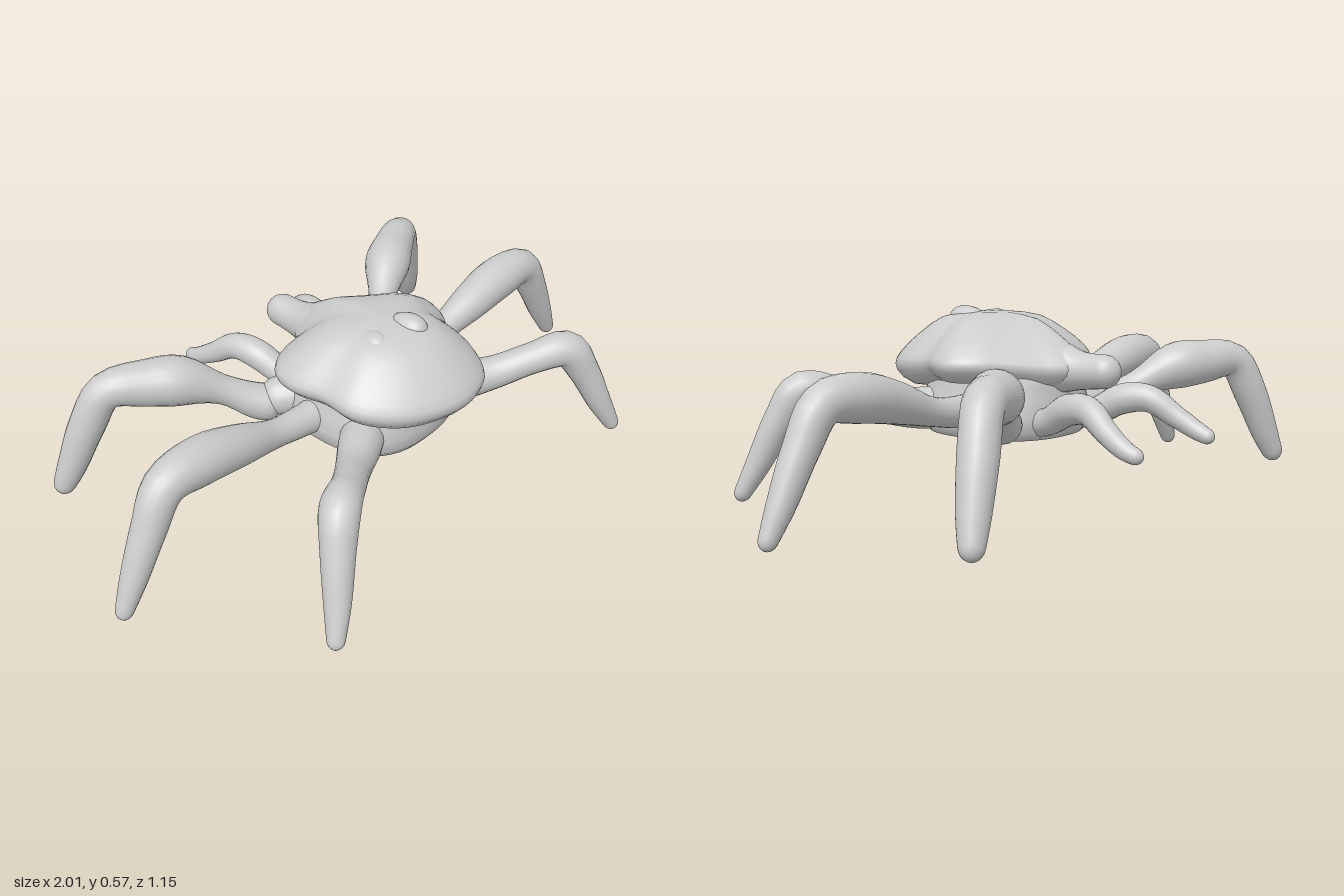
import * as THREE from 'three';

const material = new THREE.MeshStandardMaterial({ color: 0xcccccc });

// Smooth closed skin over a list of equal-length rings of points
function skin(name, rings) {
  const n = rings[0].length;
  const pos = [], index = [];
  rings.forEach(ring => ring.forEach(p => pos.push(p.x, p.y, p.z)));
  for (let i = 0; i < rings.length - 1; i++) {
    for (let j = 0; j < n; j++) {
      const a = i * n + j, b = i * n + (j + 1) % n;
      index.push(a, b, b + n, a, b + n, a + n);
    }
  }
  const geo = new THREE.BufferGeometry();
  geo.setAttribute('position', new THREE.Float32BufferAttribute(pos, 3));
  geo.setIndex(index);
  geo.computeVertexNormals();
  const mesh = new THREE.Mesh(geo, material);
  mesh.name = name;
  return mesh;
}

// Round limb through stations [x, y, z, radius], with rounded ends
function limb(name, stations, side = 1, steps = 48, n = 20) {
  const path = new THREE.CatmullRomCurve3(stations.map(s => new THREE.Vector3(s[0] * side, s[1], s[2])));
  const radii = new THREE.CatmullRomCurve3(stations.map((s, i) => new THREE.Vector3(s[3], i, 0)), false, 'catmullrom');
  const first = path.getPoint(0), last = path.getPoint(1);
  const across = new THREE.Vector3(last.z - first.z, 0, first.x - last.x).normalize();
  const rings = [];
  for (let i = 0; i <= steps; i++) {
    // stations crowd towards both ends so the caps stay round
    const t = 0.5 - 0.5 * Math.cos(Math.PI * i / steps);
    const c = path.getPoint(t), d = path.getTangent(t);
    let r = radii.getPoint(t).x;
    const end = Math.min(c.distanceTo(first), c.distanceTo(last));
    if (end < r) r *= Math.sqrt(Math.max(0, 1 - (1 - end / r) ** 2));
    const u = across.clone().addScaledVector(d, -across.dot(d)).normalize();
    const v = d.clone().cross(u);
    rings.push(Array.from({ length: n }, (_, j) => {
      const a = 2 * Math.PI * j / n;
      return c.clone().addScaledVector(u, r * Math.cos(a)).addScaledVector(v, r * Math.sin(a));
    }));
  }
  return skin(name, rings);
}

// Domed shell: a lobed outline scaled inwards and lifted
function shell() {
  const outline = new THREE.CatmullRomCurve3([
    [0.31, 0.04], [0.27, -0.04], [0.2, -0.1], [0.12, -0.17], [0.065, -0.22], [0, -0.25], [-0.06, -0.2],
    [-0.12, -0.14], [-0.21, -0.115], [-0.285, -0.05], [-0.3, 0.03], [-0.275, 0.13], [-0.265, 0.24],
    [-0.2, 0.33], [-0.11, 0.39], [0.03, 0.425], [0.16, 0.385], [0.23, 0.28], [0.25, 0.17], [0.29, 0.11]
  ].map(([x, z]) => new THREE.Vector3(x, 0, z)), true);
  const cz = 0.12, n = 80;
  // [scale of outline, share of the dome height]
  const layers = [[0, -0.42], [0.6, -0.42], [0.8, -0.38], [0.92, -0.25], [0.98, -0.12], [1, 0], [0.985, 0.1],
    [0.94, 0.22], [0.85, 0.4], [0.75, 0.56], [0.62, 0.75], [0.5, 0.88], [0.35, 0.95], [0.18, 0.99], [0, 1]];
  return skin('shell', layers.map(([s, f]) => Array.from({ length: n }, (_, j) => {
    const p = outline.getPoint(j / n);
    const rim = 0.415 - 0.025 * THREE.MathUtils.smoothstep(p.z, 0.1, 0.4)
      - 0.015 * THREE.MathUtils.smoothstep(-p.z, 0.05, 0.2);
    return new THREE.Vector3(p.x * s, rim + (0.56 - rim) * f, cz + (p.z - cz) * s);
  })));
}

// Belly: boxy rounded rings, flat underneath
function belly() {
  const layers = [[0, 0, 0.185], [0.18, 0.195, 0.183], [0.215, 0.23, 0.19], [0.24, 0.248, 0.215],
    [0.245, 0.25, 0.26], [0.23, 0.24, 0.31], [0.215, 0.235, 0.35], [0.21, 0.225, 0.4], [0, 0, 0.42]];
  const n = 48, bulge = v => Math.sign(v) * Math.abs(v) ** 0.8;
  return skin('belly', layers.map(([rx, rz, y]) => Array.from({ length: n }, (_, j) => {
    const a = 2 * Math.PI * j / n;
    return new THREE.Vector3(rx * bulge(Math.cos(a)), y, 0.06 - rz * bulge(Math.sin(a)));
  })));
}

export function createModel() {
  const model = new THREE.Group();
  model.name = 'crab';
  model.add(shell(), belly());

  // Rear horn and the two small knobs on the dome
  model.add(limb('rearHorn', [[0, 0.4, 0.02, 0.09], [0, 0.4, -0.13, 0.085], [-0.003, 0.395, -0.24, 0.057], [-0.01, 0.4, -0.36, 0.05]]));
  model.add(limb('leftKnob', [[0.03, 0.51, 0.12, 0.04], [0.04, 0.53, 0.18, 0.045], [0.045, 0.54, 0.245, 0.032]]));
  model.add(limb('rightKnob', [[-0.06, 0.495, 0.1, 0.04], [-0.08, 0.515, 0.16, 0.045], [-0.095, 0.52, 0.21, 0.033]]));

  // Leg stations for the left side, mirrored for the right
  const frontLeg = [[0.06, 0.265, 0.12, 0.065], [0.21, 0.265, 0.225, 0.066], [0.32, 0.28, 0.3, 0.053],
    [0.42, 0.32, 0.375, 0.05], [0.515, 0.335, 0.435, 0.058], [0.565, 0.25, 0.475, 0.05],
    [0.615, 0.12, 0.52, 0.039], [0.665, 0.005, 0.56, 0.023]];
  const middleLeg = [[0.12, 0.27, 0.04, 0.06], [0.3, 0.28, 0.035, 0.046], [0.39, 0.295, 0.035, 0.045],
    [0.52, 0.335, 0.04, 0.062], [0.66, 0.365, 0.04, 0.071], [0.79, 0.36, 0.045, 0.06],
    [0.86, 0.255, 0.05, 0.051], [0.93, 0.12, 0.052, 0.04], [0.99, 0.005, 0.055, 0.023]];
  const backLeg = [[0.21, 0.245, -0.1, 0.055], [0.27, 0.26, -0.145, 0.057], [0.36, 0.32, -0.21, 0.046],
    [0.46, 0.37, -0.28, 0.076], [0.54, 0.38, -0.33, 0.072], [0.65, 0.38, -0.39, 0.057],
    [0.71, 0.27, -0.425, 0.055], [0.765, 0.13, -0.455, 0.045], [0.805, 0.03, -0.48, 0.03]];
  const tailLeg = [[0.08, 0.23, -0.1, 0.045], [0.115, 0.255, -0.2, 0.042], [0.14, 0.3, -0.29, 0.047],
    [0.16, 0.305, -0.37, 0.042], [0.185, 0.255, -0.45, 0.034], [0.198, 0.215, -0.52, 0.028], [0.195, 0.195, -0.575, 0.021]];

  for (const [side, prefix] of [[1, 'left'], [-1, 'right']]) {
    model.add(limb(prefix + 'FrontLeg', frontLeg, side));
    model.add(limb(prefix + 'MiddleLeg', middleLeg, side));
    model.add(limb(prefix + 'BackLeg', backLeg, side));
    model.add(limb(prefix + 'TailLeg', tailLeg, side));
  }

  // The right back leg joins the belly through a short hip
  model.add(limb('rightBackHip', [[-0.1, 0.28, -0.02, 0.07], [-0.19, 0.275, -0.09, 0.065], [-0.27, 0.265, -0.145, 0.052]]));
  return model;
}
